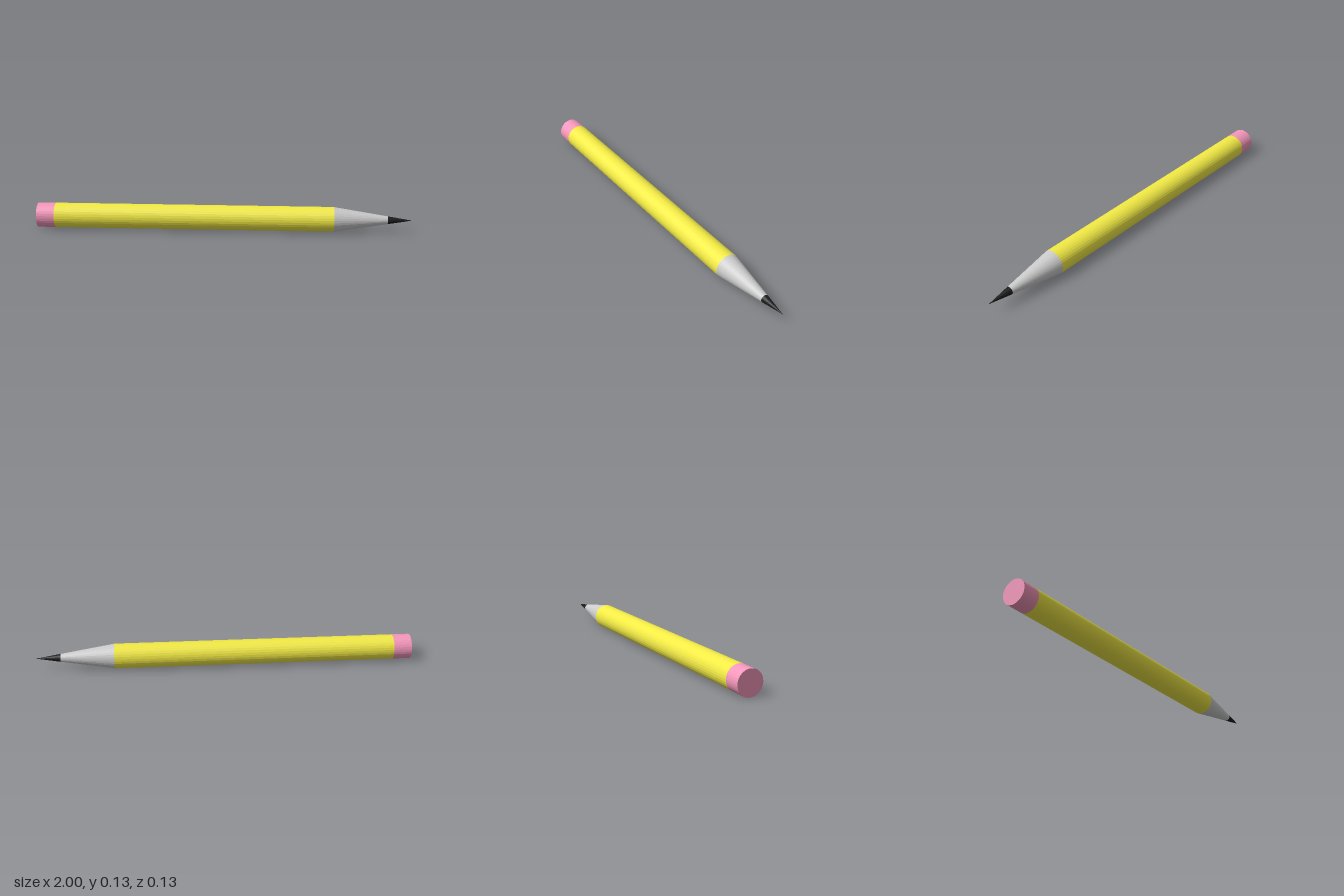
import * as THREE from 'three';

const R = 0.066;      // shaft radius, also the height of the axis
const SIDES = 32;
const LEAD_R = 0.021; // radius where the wood gives way to the lead

export function createModel() {
  const pencil = new THREE.Group();
  pencil.name = 'pencil';

  // One round section lying along x, from x0 (radius r0) to x1 (radius r1)
  function section(name, x0, x1, r0, r1, color, openEnded) {
    const geometry = new THREE.CylinderGeometry(r1, r0, x1 - x0, SIDES, 1, openEnded);
    geometry.rotateZ(-Math.PI / 2);
    geometry.translate((x0 + x1) / 2, R, 0);
    const material = new THREE.MeshStandardMaterial({ color, flatShading: true });
    if (openEnded) material.side = THREE.DoubleSide;
    const mesh = new THREE.Mesh(geometry, material);
    mesh.name = name;
    pencil.add(mesh);
  }

  section('eraser', -1, -0.905, R, R, 0xf597bb, false);
  section('shaft', -0.905, 0.585, R, R, 0xf2ea45, false);
  section('sharpenedWood', 0.585, 0.87, R, LEAD_R, 0xcccccc, true);
  section('leadTip', 0.87, 1, LEAD_R, 0, 0x1c1c1c, true);

  return pencil;
}
